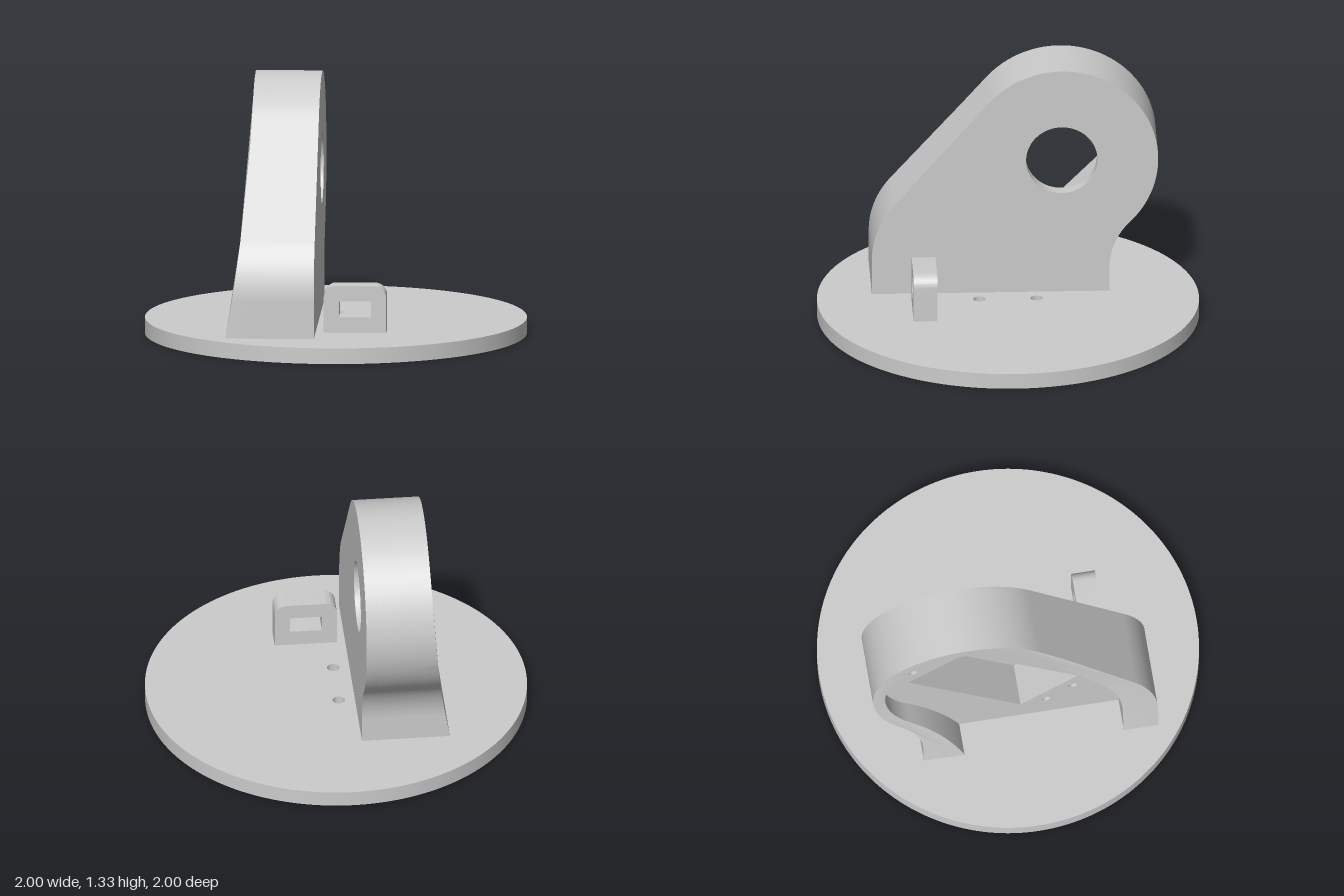
import * as THREE from 'three';
import { toCreasedNormals } from 'three/addons/utils/BufferGeometryUtils.js';

const BASE = 0.083;            // top of the base disc
const FACE = -0.085;           // outer face of the bracket
const PIVOT = [-0.285, 0.83];  // shaft hole centre (z, y)
const material = new THREE.MeshStandardMaterial({ color: 0xcccccc });

function extrude(shape, depth, curveSegments = 32) {
  return new THREE.ExtrudeGeometry(shape, { depth, curveSegments, bevelEnabled: false });
}

function addMesh(parent, name, geometry) {
  const mesh = new THREE.Mesh(toCreasedNormals(geometry, 0.5), material);
  mesh.name = name;
  parent.add(mesh);
}

function circle(x, y, r) {
  return new THREE.Path().absarc(x, y, r, 0, Math.PI * 2, true);
}

function polygon(points) {
  return new THREE.Path(points.map(([x, y]) => new THREE.Vector2(x, y)));
}

// Straight edge in several steps, so that it can follow the flared rim
function steppedLine(path, x, y, steps = 8) {
  const start = path.currentPoint.clone();
  const end = new THREE.Vector2(x, y);
  for (let i = 1; i <= steps; i++) {
    const p = start.clone().lerp(end, i / steps);
    path.lineTo(p.x, p.y);
  }
}

// Bracket outline in (z, y), from the front foot over the top to the back foot
function outline() {
  const tangent = 0.711;
  const s = new THREE.Shape();
  s.moveTo(0.71, BASE);
  s.lineTo(0.71, 0.27);
  s.absarc(0.23, 0.27, 0.48, 0, tangent, false);
  steppedLine(s, PIVOT[0] + 0.505 * Math.cos(tangent), PIVOT[1] + 0.505 * Math.sin(tangent));
  s.absarc(PIVOT[0], PIVOT[1], 0.505, tangent, Math.PI * 1.25, false);
  s.absarc(-0.9, 0.215, 0.365, Math.PI / 4, 0, true);
  s.lineTo(-0.535, BASE);
  return s;
}

function createBracket() {
  const bracket = new THREE.Group();
  bracket.name = 'bracket';
  // Turns a (z, y) extrusion so that it runs from x towards -x
  const place = (geometry, x) => geometry.rotateY(-Math.PI / 2).translate(x, 0, 0);

  // Thin outer plate with the round shaft hole
  const plate = outline();
  plate.holes.push(circle(...PIVOT, 0.187));
  addMesh(bracket, 'facePlate', place(extrude(plate, 0.07), FACE));

  // Thick layer with the tilted motor pocket and four screw holes
  const d = Math.SQRT1_2;
  const tilted = (along, across) => [-0.14 + d * (across - along), 0.69 + d * (across + along)];
  const body = outline();
  body.holes.push(polygon([tilted(0.42, 0.215), tilted(0.42, -0.215),
    tilted(-0.42, -0.215), tilted(-0.42, 0.215)]));
  for (const along of [-0.5, 0.5])
    for (const across of [-0.1, 0.1])
      body.holes.push(circle(...tilted(along, across), 0.024));
  addMesh(bracket, 'motorPocket', place(extrude(body, 0.22), FACE - 0.07));

  // Horseshoe wall around the cavity
  const wall = outline();
  wall.lineTo(-0.32, BASE);
  wall.quadraticCurveTo(-0.42, 0.343, PIVOT[0] - 0.44 * d, PIVOT[1] - 0.44 * d);
  wall.absarc(PIVOT[0], PIVOT[1], 0.44, Math.PI * 1.25, 0.66, true);
  steppedLine(wall, 0.42, 0.62);
  wall.quadraticCurveTo(0.525, 0.48, 0.525, 0.28);
  wall.lineTo(0.525, BASE);
  const rim = extrude(wall, 0.1);
  const position = rim.attributes.position;
  // The open edge flares outward towards the base
  for (let i = 0; i < position.count; i++) {
    if (position.getZ(i) > 0.05)
      position.setZ(i, 0.058 + 0.073 * (1.335 - position.getY(i)) ** 2);
  }
  addMesh(bracket, 'flaredWall', place(rim, FACE - 0.29));
  return bracket;
}

function createBase() {
  const base = new THREE.Group();
  base.name = 'base';
  // Lower layer has an extra central recess; the two small holes go through
  const layers = [['baseLower', 0, 0.04, true], ['baseUpper', 0.04, BASE, false]];
  for (const [name, bottom, top, recessed] of layers) {
    const disc = new THREE.Shape().absarc(0, 0, 1, 0, Math.PI * 2, false);
    disc.holes.push(circle(0, 0.15, 0.032), circle(0, -0.15, 0.032));
    if (recessed) disc.holes.push(circle(0, 0, 0.077));
    addMesh(base, name, extrude(disc, top - bottom, 96).rotateX(-Math.PI / 2).translate(0, bottom, 0));
  }
  return base;
}

// Small strap loop with rounded top corners and a rectangular slot
function createLoop() {
  const [x0, x1, top, r] = [-0.042, 0.285, 0.33, 0.062];
  const s = new THREE.Shape();
  s.moveTo(x0, BASE);
  s.lineTo(x1, BASE);
  s.absarc(x1 - r, top - r, r, 0, Math.PI / 2, false);
  s.absarc(x0 + r, top - r, r, Math.PI / 2, Math.PI, false);
  s.holes.push(polygon([[0.037, 0.165], [0.037, 0.25], [0.205, 0.25], [0.205, 0.165]]));
  return extrude(s, 0.125, 12).translate(0, 0, 0.38);
}

export function createModel() {
  const model = new THREE.Group();
  model.name = 'motorStand';
  model.add(createBase(), createBracket());
  addMesh(model, 'strapLoop', createLoop());
  return model;
}
